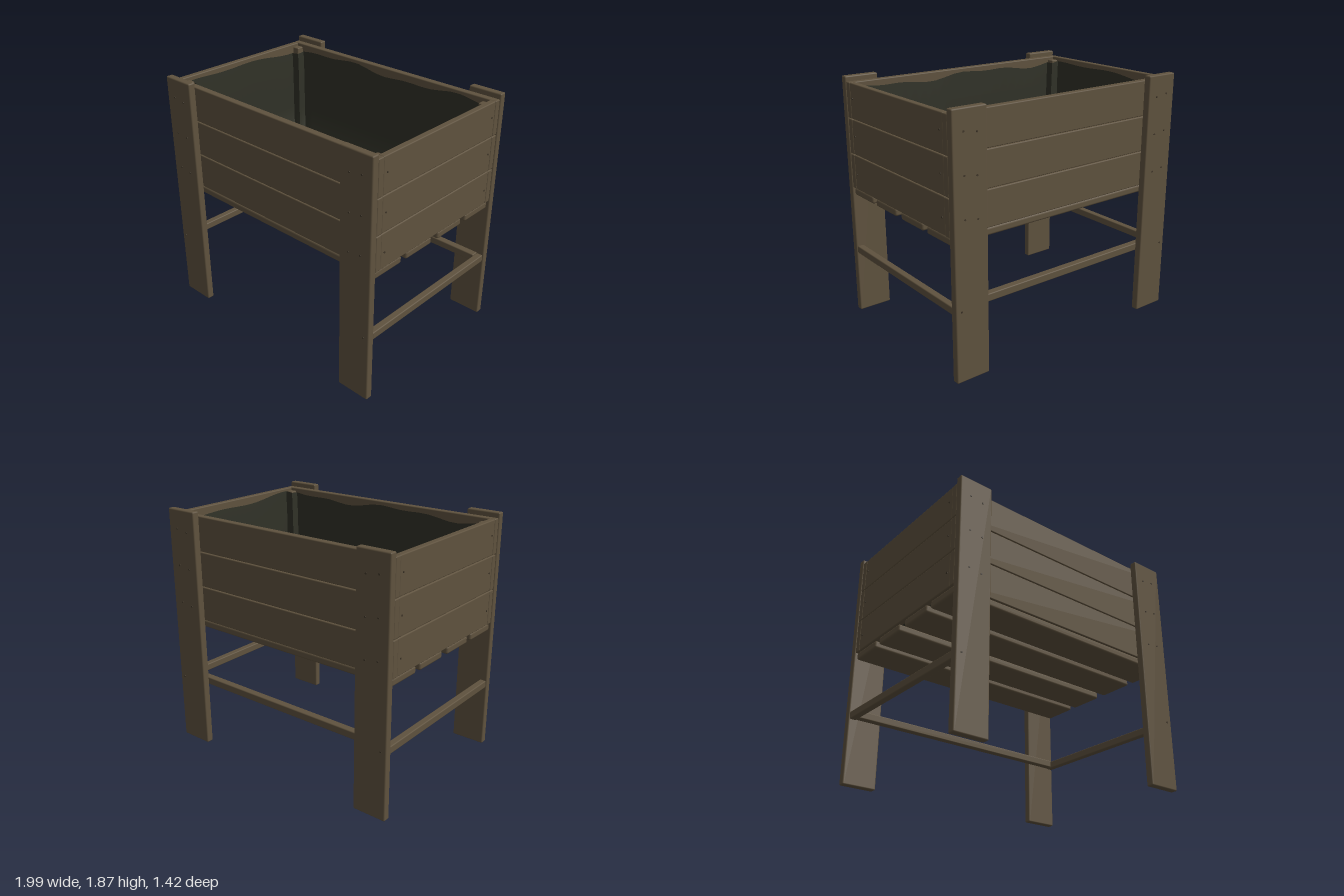
import * as THREE from 'three';
import { toCreasedNormals } from 'three/addons/utils/BufferGeometryUtils.js';
import { RoundedBoxGeometry } from 'three/addons/geometries/RoundedBoxGeometry.js';

const wood = new THREE.MeshStandardMaterial({ color: 0x5f523e });
wood.name = 'wood';
const cloth = new THREE.MeshStandardMaterial({ color: 0x2f3026, side: THREE.DoubleSide });
cloth.name = 'liner cloth';
const steel = new THREE.MeshStandardMaterial({ color: 0x3f3629 });
steel.name = 'dark nail';

// Board given by its min and max corners
function board(name, [x0, y0, z0], [x1, y1, z1], r = 0.008) {
  const geo = new RoundedBoxGeometry(x1 - x0, y1 - y0, z1 - z0, 2, r);
  const mesh = new THREE.Mesh(geo, wood);
  mesh.position.set((x0 + x1) / 2, (y0 + y1) / 2, (z0 + z1) / 2);
  mesh.name = name;
  return mesh;
}

// Nail head lying on a face whose normal is the given axis
function nail(x, y, z, axis) {
  const mesh = new THREE.Mesh(new THREE.CylinderGeometry(0.007, 0.007, 0.012, 8), steel);
  mesh.rotation[axis === 'x' ? 'z' : 'x'] = Math.PI / 2;
  mesh.position.set(x, y, z);
  mesh.name = 'nail';
  return mesh;
}

// Outline of the liner seen from above, notched around the corner posts
function linerOutline(hx, hz, notch) {
  const corners = [];
  for (const [sx, sz] of [[1, 1], [-1, 1], [-1, -1], [1, -1]]) {
    const c = [[hx, hz - notch], [hx - notch, hz - notch], [hx - notch, hz]].map(([x, z]) => [x * sx, z * sz]);
    corners.push(...(sx * sz > 0 ? c : c.reverse()));
  }
  const pts = [];
  corners.forEach(([x, z], i) => {
    const [nx, nz] = corners[(i + 1) % corners.length];
    const steps = Math.hypot(nx - x, nz - z) > 0.3 ? 20 : 2;
    for (let k = 0; k < steps; k++) pts.push([x + (nx - x) * k / steps, z + (nz - z) * k / steps]);
  });
  return pts;
}

// Cloth liner lofted from a wavy rim down to a flat floor
function liner() {
  const rows = [[0.94, 0.592, 1.785], [0.925, 0.582, 1.6], [0.915, 0.572, 1.3], [0.905, 0.565, 1.09], [0.88, 0.54, 1.05]];
  const pos = [], index = [];
  let n = 0;
  rows.forEach(([hx, hz, y], r) => {
    const ring = linerOutline(hx, hz, 0.065);
    n = ring.length;
    for (const [x, z] of ring) {
      const wave = r === 0 ? 0.016 * Math.sin(x * 6 + z * 4) + 0.01 * Math.sin(x * 13 - z * 9) : 0;
      pos.push(x, y + wave, z);
    }
  });
  for (let r = 0; r < rows.length - 1; r++) {
    for (let i = 0; i < n; i++) {
      const a = r * n + i, b = r * n + (i + 1) % n;
      index.push(a, b, a + n, b, b + n, a + n);
    }
  }
  const last = (rows.length - 1) * n, centre = pos.length / 3;
  pos.push(0, 1.045, 0);
  for (let i = 0; i < n; i++) index.push(last + i, last + (i + 1) % n, centre);
  const geo = new THREE.BufferGeometry();
  geo.setAttribute('position', new THREE.Float32BufferAttribute(pos, 3));
  geo.setIndex(index);
  const mesh = new THREE.Mesh(toCreasedNormals(geo, 0.7), cloth);
  mesh.name = 'liner';
  return mesh;
}

export function createModel() {
  const model = new THREE.Group();
  model.name = 'raised planter';

  // Box walls: three boards on each side
  for (let i = 0; i < 3; i++) {
    const y0 = 1.03 + i * 0.269, y1 = y0 + 0.265;
    model.add(board('frontPlank', [-0.99, y0, 0.597], [0.99, y1, 0.65]));
    model.add(board('backPlank', [-0.99, y0, -0.65], [0.99, y1, -0.597]));
    model.add(board('leftPlank', [0.942, y0, -0.6], [0.988, y1, 0.6]));
    model.add(board('rightPlank', [-0.988, y0, -0.6], [-0.942, y1, 0.6]));
  }

  // Floor slats
  for (const z of [0.508, 0.18, -0.17, -0.5]) {
    model.add(board('floorSlat', [-0.98, 0.97, z - 0.14], [0.98, 1.028, z + 0.14], 0.016));
  }

  // Legs, inner corner posts and nails
  for (const sx of [-1, 1]) {
    for (const sz of [-1, 1]) {
      const leg = board('leg', [-0.132, 0, -0.028], [0.132, 1.87, 0.028], 0.01);
      leg.position.set(sx * 0.862, 0.935, sz * 0.679);
      const post = board('cornerPost', [-0.03, 1.03, -0.03], [0.03, 1.81, 0.03]);
      post.position.x = sx * 0.915;
      post.position.z = sz * 0.567;
      model.add(leg, post);
      for (const y of [1.14, 1.43, 1.71]) {
        model.add(nail(sx * 0.81, y, sz * 0.705, 'z'), nail(sx * 0.91, y + 0.015, sz * 0.705, 'z'));
        model.add(nail(sx * 0.986, y + 0.01, sz * 0.565, 'x'));
      }
      model.add(nail(sx * 0.95, 0.525, sz * 0.705, 'z'));
    }
    // Side stretcher between front and back legs
    const side = board('sideStretcher', [-0.026, 0.493, -0.652], [0.026, 0.55, 0.652]);
    side.position.x = sx * 0.962;
    model.add(side);
  }

  // Back stretcher
  model.add(board('backStretcher', [-0.936, 0.497, -0.652], [0.936, 0.555, -0.595]));

  model.add(liner());
  return model;
}
